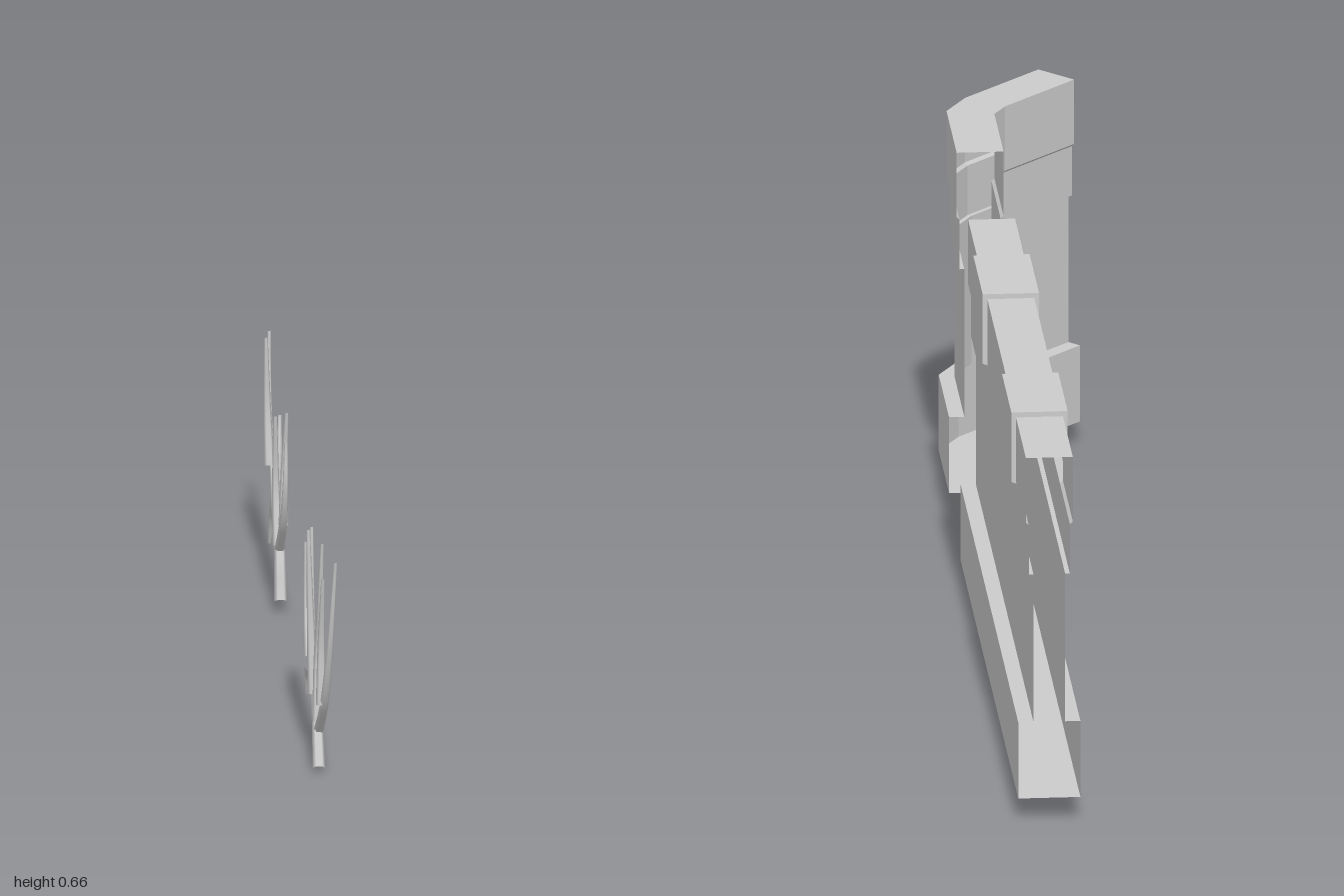
import * as THREE from 'three';

const stone = new THREE.MeshStandardMaterial({ color: 0xcccccc, flatShading: true, side: THREE.DoubleSide });
const bark = new THREE.MeshStandardMaterial({ color: 0xcccccc });

// Closed outline of the masonry: plinth, body, band and coping, as [offset, height]
function outline(cap, top) {
  const side = [
    [0.053, 0.04], [0.053, 0.177], [0.027, 0.177], [0.027, 0.443],
    [0.035, 0.443], [0.035, 0.532], [cap, 0.537], [cap, top],
  ];
  return [...side, ...side.map(([o, y]) => [-o, y]).reverse()];
}

// Hollow, open-ended masonry skinned through stations {x, z, angle, miter, cap, top}
function masonry(name, stations) {
  const rings = stations.map(({ x, z, angle = 0, miter = 1, cap = 0.04, top = 0.653 }) =>
    outline(cap, top).map(([o, y]) => new THREE.Vector3(
      x + o * miter * Math.cos(angle), y, z + o * miter * Math.sin(angle))));
  const points = [];
  const addTriangle = (...t) => {
    if (new THREE.Triangle(...t).getArea() > 1e-7) points.push(...t);
  };
  for (let i = 0; i < rings.length - 1; i++) {
    const n = rings[i].length;
    for (let j = 0; j < n; j++) {
      const k = (j + 1) % n;
      addTriangle(rings[i][j], rings[i + 1][j], rings[i + 1][k]);
      addTriangle(rings[i][j], rings[i + 1][k], rings[i][k]);
    }
  }
  const geometry = new THREE.BufferGeometry().setFromPoints(points);
  geometry.computeVertexNormals();
  const mesh = new THREE.Mesh(geometry, stone);
  mesh.name = name;
  return mesh;
}

// Tapered tube along a smooth curve, shrinking from r0 to r1
function twig(path, r0, r1) {
  const curve = new THREE.CatmullRomCurve3(path.map((p) => new THREE.Vector3(...p)));
  const segments = 14, sides = 6;
  const geometry = new THREE.TubeGeometry(curve, segments, 1, sides);
  const position = geometry.attributes.position;
  const v = new THREE.Vector3();
  for (let i = 0; i < position.count; i++) {
    const t = Math.floor(i / (sides + 1)) / segments;
    const centre = curve.getPointAt(t);
    v.fromBufferAttribute(position, i).sub(centre)
      .multiplyScalar(r0 + (r1 - r0) * t).add(centre);
    position.setXYZ(i, v.x, v.y, v.z);
  }
  return new THREE.Mesh(geometry, bark);
}

// Flat spray of twigs; each path is a list of [z, y], leaning a little in x with height
function shrub(name, x, leans, paths) {
  const group = new THREE.Group();
  group.name = name;
  paths.forEach((path, i) => {
    const lean = leans[i % leans.length];
    const mesh = twig(path.map(([z, y]) => [x + lean * y, y, z]), i === 0 ? 0.011 : 0.009, 0.003);
    mesh.name = i === 0 ? 'mainStem' : 'branch';
    group.add(mesh);
  });
  return group;
}

export function createModel() {
  const model = new THREE.Group();
  model.name = 'ruinedWallAndShrubs';

  // Straight wall with two slightly larger coping blocks
  const x = 0.508;
  const stations = [{ x, z: 1 }];
  for (const [front, back] of [[0.79, 0.59], [0.18, -0.02]]) {
    const block = { x, cap: 0.048, top: 0.662 };
    stations.push({ x, z: front }, { ...block, z: front }, { ...block, z: back }, { x, z: back });
  }
  stations.push({ x, z: -0.23 });
  model.add(masonry('straightWall', stations));

  // Corner wall bending by 45 degrees
  const deg = Math.PI / 180;
  model.add(masonry('cornerWall', [
    { x: 0.516, z: -0.575 },
    { x: 0.516, z: -0.78, angle: 15 * deg, miter: 1.035 },
    { x: 0.545, z: -0.831, angle: 37.5 * deg, miter: 1.01 },
    { x: 0.677, z: -0.963, angle: 45 * deg },
  ]));

  // Shrubs
  model.add(shrub('frontShrub', -0.71, [0.02, -0.02, 0.01, -0.01, 0.05], [
    [[0.65, 0.005], [0.6, 0.07], [0.53, 0.115], [0.46, 0.14], [0.395, 0.2], [0.375, 0.3]],
    [[0.48, 0.13], [0.44, 0.1], [0.42, 0.06]],
    [[0.53, 0.115], [0.47, 0.21], [0.45, 0.37]],
    [[0.46, 0.14], [0.42, 0.22], [0.41, 0.33]],
    [[0.61, 0.06], [0.68, 0.13], [0.725, 0.24], [0.75, 0.41]],
    [[0.6, 0.07], [0.58, 0.18], [0.605, 0.29], [0.62, 0.4]],
    [[0.55, 0.105], [0.53, 0.22], [0.52, 0.39]],
    [[0.68, 0.13], [0.67, 0.23], [0.69, 0.36]],
  ]));
  model.add(shrub('backShrub', -0.71, [0.02, 0.03, -0.015, 0.03, -0.01], [
    [[-0.17, 0.02], [-0.215, 0.105], [-0.3, 0.14], [-0.37, 0.195], [-0.45, 0.23], [-0.495, 0.31], [-0.505, 0.39]],
    [[-0.33, 0.155], [-0.385, 0.1], [-0.415, 0.04]],
    [[-0.37, 0.195], [-0.395, 0.29], [-0.4, 0.415]],
    [[-0.285, 0.135], [-0.285, 0.23], [-0.3, 0.31]],
    [[-0.215, 0.105], [-0.245, 0.2], [-0.237, 0.33]],
    [[-0.21, 0.1], [-0.15, 0.17], [-0.125, 0.24], [-0.13, 0.32]],
    [[-0.16, 0.16], [-0.18, 0.25], [-0.17, 0.36]],
  ]));
  return model;
}
